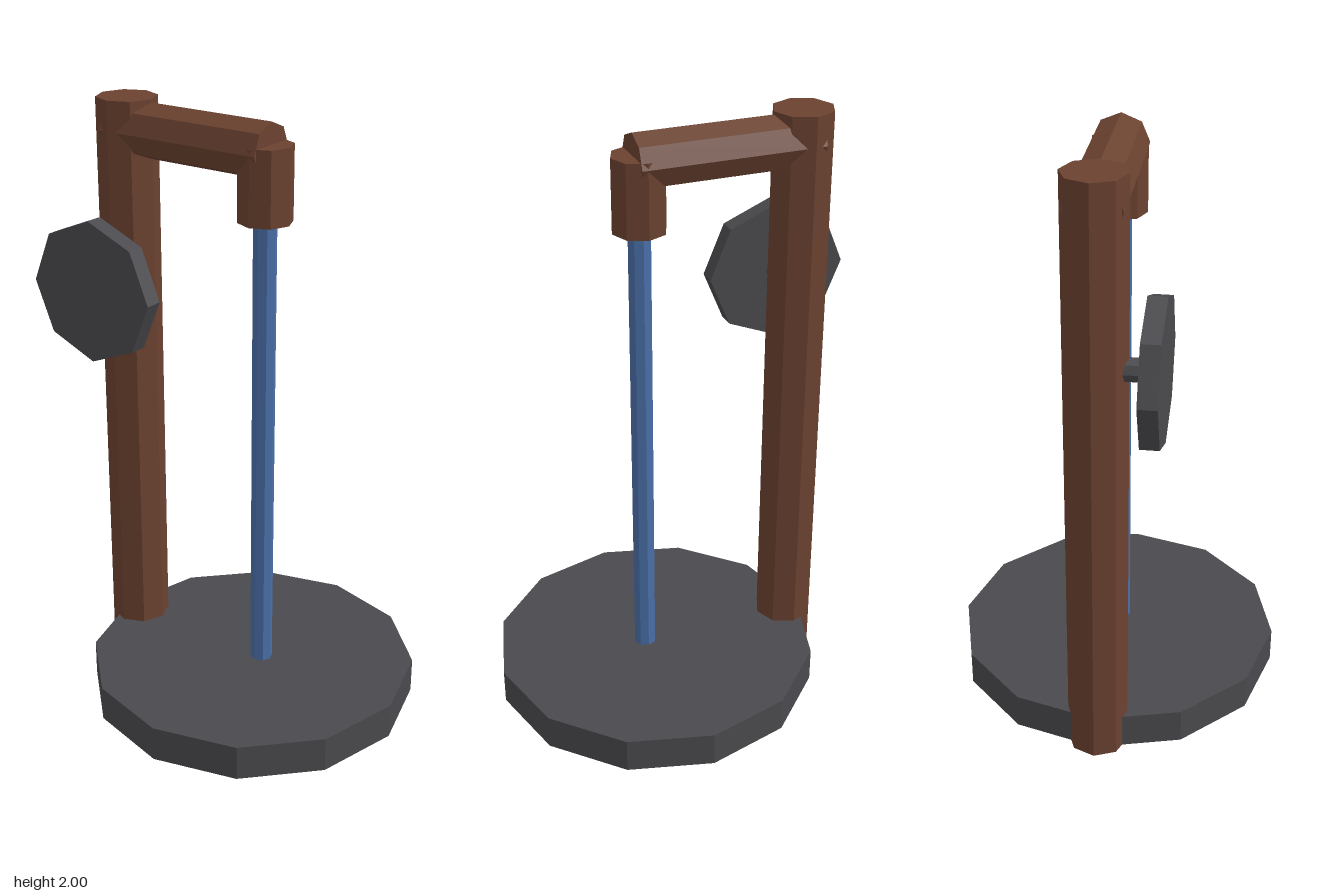
import * as THREE from 'three';

export function createModel() {
  const model = new THREE.Group();
  const material = (name, color) => {
    const m = new THREE.MeshStandardMaterial({ color, flatShading: true });
    m.name = name;
    return m;
  };
  const brown = material('brown wood', 0x6b4230);
  const grey = material('dark grey', 0x4a4a4e);
  const blue = material('blue', 0x4a6fa8);

  // Faceted cylinder centred at the given position
  const cylinder = (name, mat, radius, length, sides, [x, y, z], axis = 'y') => {
    const geometry = new THREE.CylinderGeometry(radius, radius, length, sides);
    if (axis === 'x') geometry.rotateZ(Math.PI / 2);
    if (axis === 'z') geometry.rotateX(Math.PI / 2);
    const mesh = new THREE.Mesh(geometry, mat);
    mesh.name = name;
    mesh.position.set(x, y, z);
    model.add(mesh);
  };

  // Stand
  cylinder('base', grey, 0.556, 0.12, 12, [0.09, 0.06, 0]);
  cylinder('post', brown, 0.1, 2, 8, [-0.41, 1, 0]);

  // Overhanging arm, its end socket and the hanging rod
  cylinder('arm', brown, 0.09, 0.6, 8, [-0.153, 1.9, 0], 'x');
  cylinder('socket', brown, 0.088, 0.24, 8, [0.127, 1.8, 0]);
  cylinder('rod', blue, 0.038, 1.6, 8, [0.127, 0.9, 0]);

  // Wheel on the front of the post
  cylinder('wheelAxle', grey, 0.038, 0.12, 8, [-0.41, 1.4, 0.1], 'z');
  cylinder('wheel', grey, 0.238, 0.06, 8, [-0.41, 1.4, 0.18], 'z');

  return model;
}
